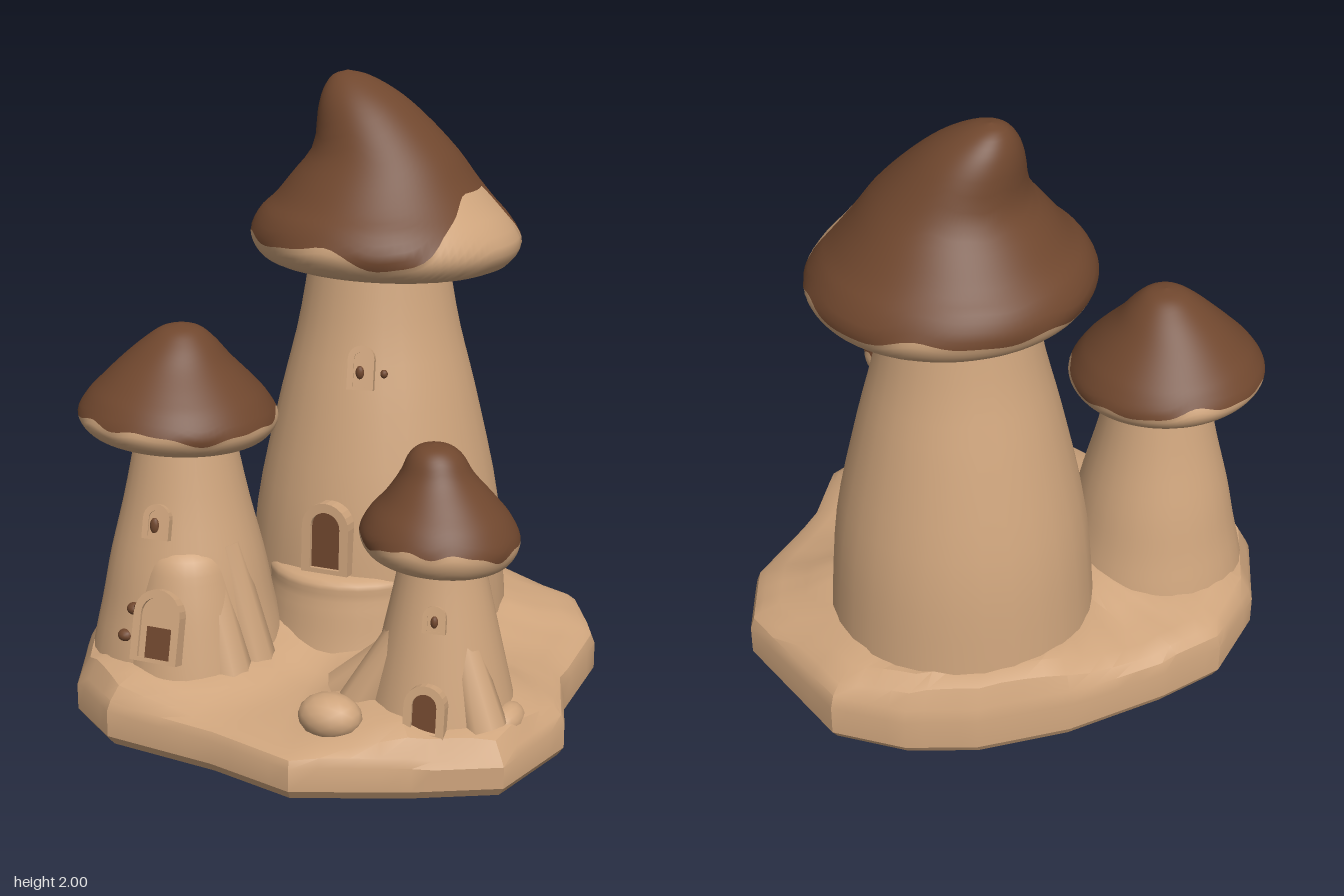
import * as THREE from 'three';
import { toCreasedNormals } from 'three/addons/utils/BufferGeometryUtils.js';

const tan = new THREE.MeshStandardMaterial({ color: 0xcfa57d });
tan.name = 'tan clay';
const brown = new THREE.MeshStandardMaterial({ color: 0x70472e });
brown.name = 'brown glaze';

const V = (x, y, z) => new THREE.Vector3(x, y, z);

function add(parent, name, geometry, material = tan) {
  const mesh = new THREE.Mesh(geometry, material);
  mesh.name = name;
  parent.add(mesh);
  return mesh;
}

// Closed rings: at(i, j) gives the point at step i around and ring j, going up
function loft(n, m, at) {
  const pos = [], index = [];
  for (let j = 0; j <= m; j++) for (let i = 0; i < n; i++) pos.push(...at(i, j).toArray());
  for (let j = 0; j < m; j++) for (let i = 0; i < n; i++) {
    const a = j * n + i, b = j * n + (i + 1) % n;
    index.push(a, a + n, b, b, a + n, b + n);
  }
  const g = new THREE.BufferGeometry();
  g.setAttribute('position', new THREE.Float32BufferAttribute(pos, 3));
  g.setIndex(index);
  g.computeVertexNormals();
  return g;
}

// Uneven slab, higher at the back, with soil banked up around each house
function baseGeometry() {
  const outline = [[0.16, -0.83], [0.6, -0.63], [0.73, -0.4], [0.74, -0.02], [0.82, 0.22], [0.74, 0.55],
    [0.5, 0.68], [0.17, 0.82], [-0.12, 0.75], [-0.5, 0.71], [-0.69, 0.57], [-0.81, 0.3], [-0.81, 0.02],
    [-0.7, -0.18], [-0.5, -0.46], [-0.28, -0.67], [-0.08, -0.78]];
  // scale, height, share of the slope
  const rings = [[0, 0, 0], [0.975, 0, 0], [1, 0.03, 0], [1, 0.12, 0.5], [0.985, 0.155, 0.8], [0.95, 0.175, 1],
    [0.88, 0.19, 1], [0.78, 0.195, 0.9], [0.66, 0.2, 0.8], [0.54, 0.2, 0.6], [0.42, 0.2, 0.5],
    [0.3, 0.2, 0.3], [0.15, 0.21, 0.1], [0, 0.22, 0]];
  const houses = [[0, -0.25, 0.42], [-0.42, 0.32, 0.28], [0.46, 0.38, 0.22]];
  const sub = 4;
  const g = loft(outline.length * sub, rings.length - 1, (i, j) => {
    const k = Math.floor(i / sub), f = i % sub / sub;
    const a = outline[k], b = outline[(k + 1) % outline.length], [s, y, slope] = rings[j];
    const ox = a[0] + (b[0] - a[0]) * f, oz = a[1] + (b[1] - a[1]) * f, x = ox * s, z = oz * s;
    let h = y + slope * (-0.04 * oz - 0.02 * ox + 0.008 * Math.sin(k * 2.3));
    if (j > 4) for (const [hx, hz, r] of houses) {
      const gap = Math.max(0, Math.hypot(x - hx, z - hz) - r);
      h += 0.05 * Math.exp(-((gap / 0.1) ** 2));
    }
    return V(x, h, z);
  });
  return toCreasedNormals(g, 0.5);
}

// Round body turned from [radius, y] points
function turned(parent, name, points, x, z) {
  const curve = new THREE.SplineCurve(points.map(p => new THREE.Vector2(...p)));
  add(parent, name, new THREE.LatheGeometry(curve.getPoints(18), 28)).position.set(x, 0, z);
}

// Cap from [y, radius, sideways shift] points; rim(angle) is where the glaze begins
function cap(parent, points, x, z, tilt, rim) {
  const curve = new THREE.CatmullRomCurve3(points.map(([y, r, s = 0]) => V(r, y, s)));
  const last = points.length - 1, n = 96;
  const surface = (a, k) => {
    const p = curve.getPoint(Math.min(1, k / last));
    const r = Math.max(0, p.x), px = p.z + r * Math.cos(a);
    return V(x + px, p.y - tilt * px * (1 - k / last), z + r * Math.sin(a));
  };
  const part = (name, material, from, to, rows) => add(parent, name, loft(n, rows, (i, j) => {
    const a = i / n * Math.PI * 2;
    const start = from(a);
    return surface(a, start + (to(a) - start) * j / rows);
  }), material);
  part('capUnderside', tan, () => 0, rim, 14);
  part('capTop', brown, rim, () => last, 24);
}

const wave = (a, s) => 0.22 * Math.sin(3 * a + s) + 0.14 * Math.sin(7 * a + 2 * s) + 0.07 * Math.sin(13 * a);

function archShape(Type, w, h, y0 = 0) {
  const s = new Type(), r = w / 2;
  s.moveTo(-r, y0);
  s.lineTo(r, y0);
  s.lineTo(r, h - r);
  s.absarc(0, h - r, r, 0, Math.PI, false);
  s.lineTo(-r, y0);
  return s;
}

// Arched frame with a set-back panel
function opening(parent, name, w, h, border, depth, x, y, z, turn, lean, panelMaterial) {
  const g = new THREE.Group();
  g.name = name;
  const outer = archShape(THREE.Shape, w + border * 2, h + border, -border * 0.5);
  outer.holes.push(archShape(THREE.Path, w, h));
  add(g, 'frame', new THREE.ExtrudeGeometry(outer, { depth, bevelEnabled: false, curveSegments: 6 }));
  const panel = add(g, 'panel', new THREE.ExtrudeGeometry(archShape(THREE.Shape, w, h),
    { depth: 0.008, bevelEnabled: false, curveSegments: 6 }), panelMaterial);
  panel.position.z = depth * 0.6;
  g.position.set(x, y, z);
  g.rotation.set(lean, turn, 0, 'YXZ');
  parent.add(g);
}

// Tapered root between two points
function root(parent, a, b, ra, rb) {
  const d = b.clone().sub(a);
  const g = new THREE.CylinderGeometry(rb, ra, d.length(), 9);
  const m = add(parent, 'root', toCreasedNormals(g, 0.8));
  m.position.copy(a).addScaledVector(d, 0.5);
  m.quaternion.setFromUnitVectors(V(0, 1, 0), d.normalize());
}

function lump(parent, name, x, y, z, sx, sy, sz, material = tan) {
  const m = add(parent, name, toCreasedNormals(new THREE.IcosahedronGeometry(1, 2), 0.6), material);
  m.position.set(x, y, z);
  m.scale.set(sx, sy, sz);
}

function house(parent, name) {
  const g = new THREE.Group();
  g.name = name;
  parent.add(g);
  return g;
}

export function createModel() {
  const model = new THREE.Group();
  model.name = 'mushroomHouses';
  add(model, 'base', baseGeometry());

  // Tall house at the back
  const tall = house(model, 'tallHouse');
  turned(tall, 'stem', [[0.44, 0.1], [0.43, 0.27], [0.4, 0.6], [0.325, 0.95], [0.262, 1.2], [0.22, 1.44]], 0.005, -0.25);
  cap(tall, [[1.43, 0.18], [1.4, 0.32, 0.01], [1.415, 0.4, 0.02], [1.48, 0.438, 0.025], [1.55, 0.405, 0.02],
    [1.6, 0.357, 0.022], [1.67, 0.3, 0.02], [1.76, 0.232, 0.02], [1.88, 0.163, -0.036], [1.94, 0.115, -0.07],
    [1.985, 0.055, -0.1], [2, 0, -0.11]], 0, -0.26, 0.05, a => {
    const t = Math.atan2(Math.sin(a), Math.cos(a));
    const S = THREE.MathUtils.smoothstep;
    const patch = S(t, -0.38, -0.22) * (1 - S(t, 0.25, 1.05));
    const bump = (at, width) => 0.5 * Math.exp(-(((t - at) / width) ** 2));
    return 2.85 + wave(a, 1) * (1 - patch) + patch * 2.9 + bump(1.6, 0.3) + bump(-0.75, 0.35);
  });
  opening(tall, 'door', 0.1, 0.185, 0.03, 0.055, 0.005, 0.475, 0.14, 0, -0.06, brown);
  opening(tall, 'window', 0.045, 0.11, 0.02, 0.03, 0.065, 1.045, 0.035, 0.2, -0.25, tan);
  lump(tall, 'windowCatch', 0.066, 1.095, 0.05, 0.014, 0.022, 0.012, brown);
  lump(tall, 'windowKnob', 0.135, 1.09, 0.018, 0.012, 0.014, 0.012, brown);
  turned(tall, 'doorstep', [[0.34, 0.1], [0.305, 0.24], [0.28, 0.38], [0.25, 0.45], [0, 0.47]], 0, -0.06);

  // Middle house on the right-hand side
  const middle = house(model, 'middleHouse');
  turned(middle, 'stem', [[0.33, 0.1], [0.302, 0.25], [0.275, 0.37], [0.245, 0.52], [0.195, 0.72], [0.15, 0.94]], -0.43, 0.29);
  cap(middle, [[0.94, 0.12], [0.905, 0.23], [0.92, 0.285], [0.97, 0.315], [1.03, 0.285], [1.08, 0.24],
    [1.15, 0.17], [1.21, 0.11, 0.01], [1.247, 0.06, 0.015], [1.26, 0, 0.015]], -0.455, 0.285, 0.07,
  a => 3.1 + wave(a, 2.5));
  turned(middle, 'porch', [[0.23, 0.12], [0.2, 0.27], [0.155, 0.46], [0.11, 0.57], [0, 0.62]], -0.37, 0.41);
  opening(middle, 'door', 0.11, 0.19, 0.025, 0.045, -0.375, 0.27, 0.593, 0, -0.25, tan);
  const halfDoor = add(middle, 'halfDoor', new THREE.BoxGeometry(0.085, 0.1, 0.008), brown);
  halfDoor.position.set(-0.363, 0.325, 0.618);
  halfDoor.rotation.x = -0.25;
  opening(middle, 'window', 0.05, 0.08, 0.02, 0.03, -0.42, 0.63, 0.495, 0.05, -0.25, tan);
  lump(middle, 'windowCatch', -0.425, 0.665, 0.51, 0.016, 0.028, 0.012, brown);
  for (const [x, y, z] of [[-0.48, 0.4, 0.552], [-0.51, 0.31, 0.562], [-0.45, 0.41, 0.56]])
    lump(middle, 'lantern', x, y, z, 0.026, 0.02, 0.024, brown);
  root(middle, V(-0.16, 0.18, 0.36), V(-0.27, 0.58, 0.36), 0.075, 0.06);
  root(middle, V(-0.2, 0.18, 0.46), V(-0.31, 0.54, 0.42), 0.08, 0.06);

  // Small house on the left-hand side
  const small = house(model, 'smallHouse');
  turned(small, 'stem', [[0.25, 0.08], [0.22, 0.22], [0.175, 0.42], [0.14, 0.58], [0.12, 0.69]], 0.465, 0.355);
  cap(small, [[0.68, 0.09], [0.65, 0.17], [0.665, 0.215], [0.72, 0.24], [0.78, 0.215], [0.84, 0.165],
    [0.91, 0.11, -0.01], [0.965, 0.08, -0.015], [0.99, 0.05, -0.018], [1, 0, -0.02]], 0.46, 0.365, 0.08,
  a => 3.1 + wave(a, 4));
  opening(small, 'door', 0.075, 0.12, 0.025, 0.05, 0.5, 0.175, 0.555, 0.1, -0.15, brown);
  opening(small, 'window', 0.04, 0.06, 0.015, 0.03, 0.5, 0.47, 0.495, 0.15, -0.2, tan);
  lump(small, 'windowCatch', 0.503, 0.5, 0.512, 0.012, 0.02, 0.012, brown);
  root(small, V(0.25, 0.17, 0.47), V(0.42, 0.5, 0.42), 0.075, 0.05);
  root(small, V(0.65, 0.17, 0.47), V(0.53, 0.48, 0.42), 0.07, 0.05);
  root(small, V(0.17, 0.17, 0.4), V(0.38, 0.36, 0.38), 0.08, 0.07);

  // Stones around the houses
  lump(model, 'stone', 0.22, 0.2, 0.63, 0.1, 0.07, 0.08);
  lump(model, 'stone', 0.69, 0.17, 0.38, 0.05, 0.05, 0.08);
  return model;
}
